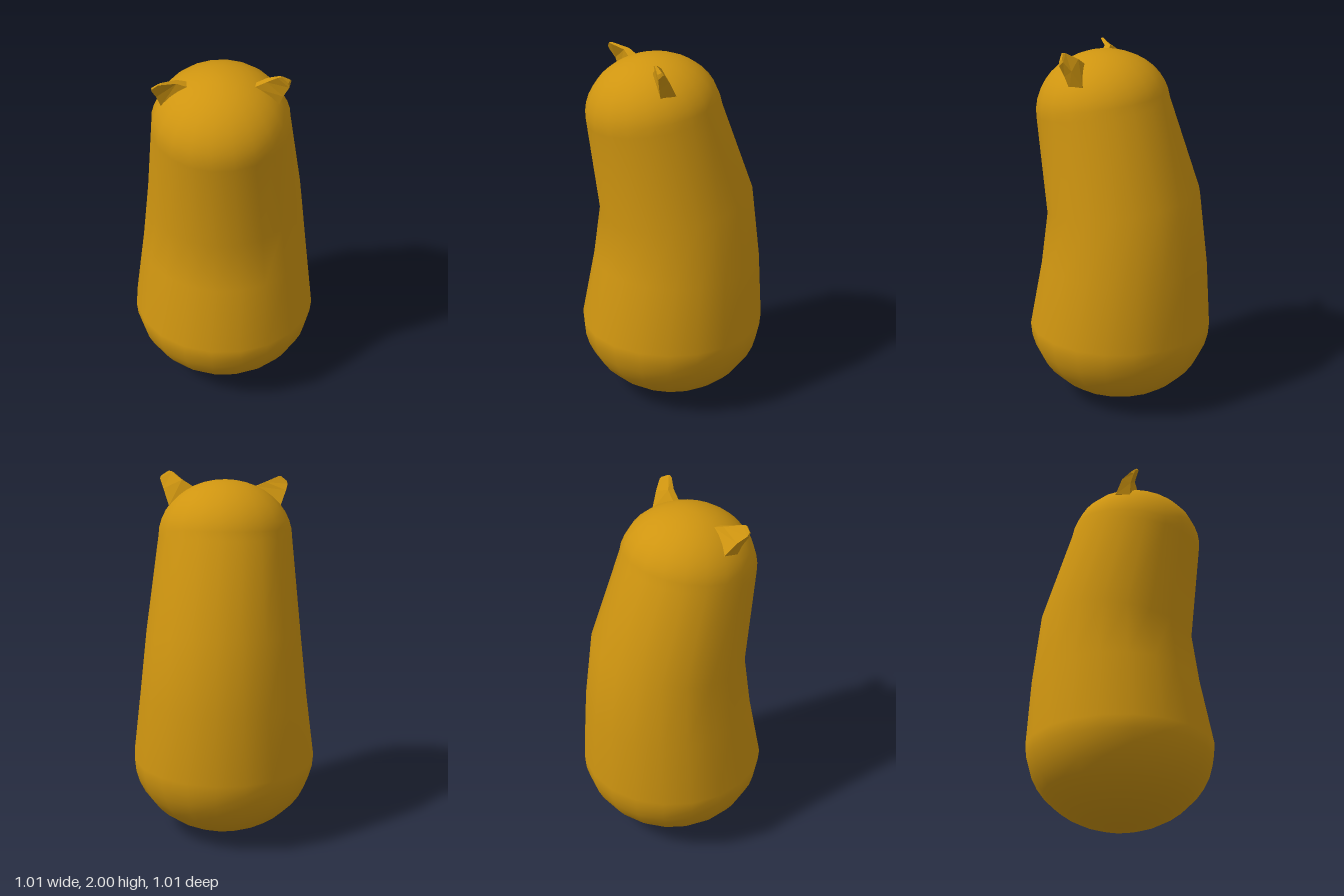
import * as THREE from 'three';
import { mergeVertices } from 'three/addons/utils/BufferGeometryUtils.js';

const SIDES = 20;
const v = (p) => new THREE.Vector3(...p);

// Skin a closed surface over rings of points, listed from bottom to top
function loft(rings) {
  const n = rings[0].length;
  const index = [];
  for (let i = 0; i < rings.length - 1; i++) {
    for (let j = 0; j < n; j++) {
      const k = (j + 1) % n;
      const a = i * n + j, b = i * n + k, c = a + n, d = b + n;
      if (i > 0) index.push(a, b, d);
      if (i < rings.length - 2) index.push(a, d, c);
    }
  }
  const geo = new THREE.BufferGeometry().setFromPoints(rings.flat());
  geo.setIndex(index);
  const merged = mergeVertices(geo, 1e-5);
  merged.computeVertexNormals();
  return merged;
}

// Round ring about (0, y, z), its front dipped by tilt, lifted h along its axis
function ring({ y, z, r, tilt = 0 }, scale = 1, h = 0) {
  const s = Math.sin(tilt), c = Math.cos(tilt);
  return Array.from({ length: SIDES }, (_, j) => {
    const a = (j / SIDES) * Math.PI * 2;
    const u = scale === 0 ? 0 : r * scale * Math.cos(a);
    const x = scale === 0 ? 0 : r * scale * Math.sin(a);
    return new THREE.Vector3(x, y - u * s + h * c, z + u * c + h * s);
  });
}

function bodyGeometry() {
  const base = { y: 0.44, z: 0, r: 0.506 };
  const belly = { y: 0.81, z: -0.027, r: 0.46 };
  const chest = { y: 1.15, z: -0.022, r: 0.423, tilt: 0.166 };
  const neck = { y: 1.656, z: 0.1, r: 0.365, tilt: 0.145 };
  const rings = [];
  const steps = 10;
  // rounded bottom
  for (let i = 0; i < steps; i++) {
    const a = (i / steps) * Math.PI / 2;
    rings.push(ring(base, Math.sin(a), -0.435 * Math.cos(a)));
  }
  rings.push(ring(base), ring(belly), ring(chest), ring(neck));
  // domed head
  for (let i = 1; i <= steps; i++) {
    const a = (i / steps) * Math.PI / 2;
    rings.push(ring(neck, i === steps ? 0 : Math.cos(a), 0.31 * Math.sin(a)));
  }
  return loft(rings);
}

// Ear from four-cornered sections, rooted in the head
function earGeometry(sections) {
  const rings = sections.map((s) => s.map(v));
  const headCentre = new THREE.Vector3(0, 1.66, 0.1);
  rings.unshift(rings[0].map((p) => p.clone().lerp(headCentre, 0.12)));
  const collapse = (r) => {
    const c = r.reduce((sum, p) => sum.add(p), new THREE.Vector3()).divideScalar(r.length);
    return r.map(() => c.clone());
  };
  return loft([collapse(rings[0]), ...rings, collapse(rings[rings.length - 1])]);
}

export function createModel() {
  const group = new THREE.Group();
  const color = 0xcf9510;
  const smooth = new THREE.MeshStandardMaterial({ color });
  const flat = new THREE.MeshStandardMaterial({ color, flatShading: true });

  const add = (name, geo, mat) => {
    const mesh = new THREE.Mesh(geo, mat);
    mesh.name = name;
    group.add(mesh);
  };

  add('body', bodyGeometry(), smooth);

  // upright ear; corners: inner front, outer front, outer back, inner back
  add('leftEar', earGeometry([
    [[0.17, 1.915, 0.15], [0.295, 1.81, 0.14], [0.3, 1.83, 0.06], [0.17, 1.92, 0.115]],
    [[0.235, 1.955, 0.155], [0.32, 1.88, 0.155], [0.335, 1.915, 0.105], [0.235, 1.96, 0.12]],
    [[0.29, 1.995, 0.175], [0.35, 1.94, 0.168], [0.357, 1.965, 0.14], [0.295, 1.998, 0.16]],
    [[0.31, 2.0, 0.175], [0.345, 1.965, 0.17], [0.352, 1.977, 0.15], [0.315, 2.0, 0.165]],
  ]), flat);

  // forward-leaning ear; corners: inner back, outer back, outer front, inner front
  add('rightEar', earGeometry([
    [[-0.165, 1.925, 0.15], [-0.3, 1.83, 0.13], [-0.29, 1.81, 0.215], [-0.16, 1.92, 0.195]],
    [[-0.215, 1.945, 0.175], [-0.325, 1.9, 0.185], [-0.31, 1.87, 0.23], [-0.21, 1.94, 0.205]],
    [[-0.28, 1.965, 0.25], [-0.332, 1.925, 0.24], [-0.325, 1.915, 0.258], [-0.275, 1.96, 0.262]],
    [[-0.295, 1.963, 0.262], [-0.325, 1.94, 0.26], [-0.322, 1.935, 0.267], [-0.292, 1.96, 0.268]],
  ]), flat);

  return group;
}
